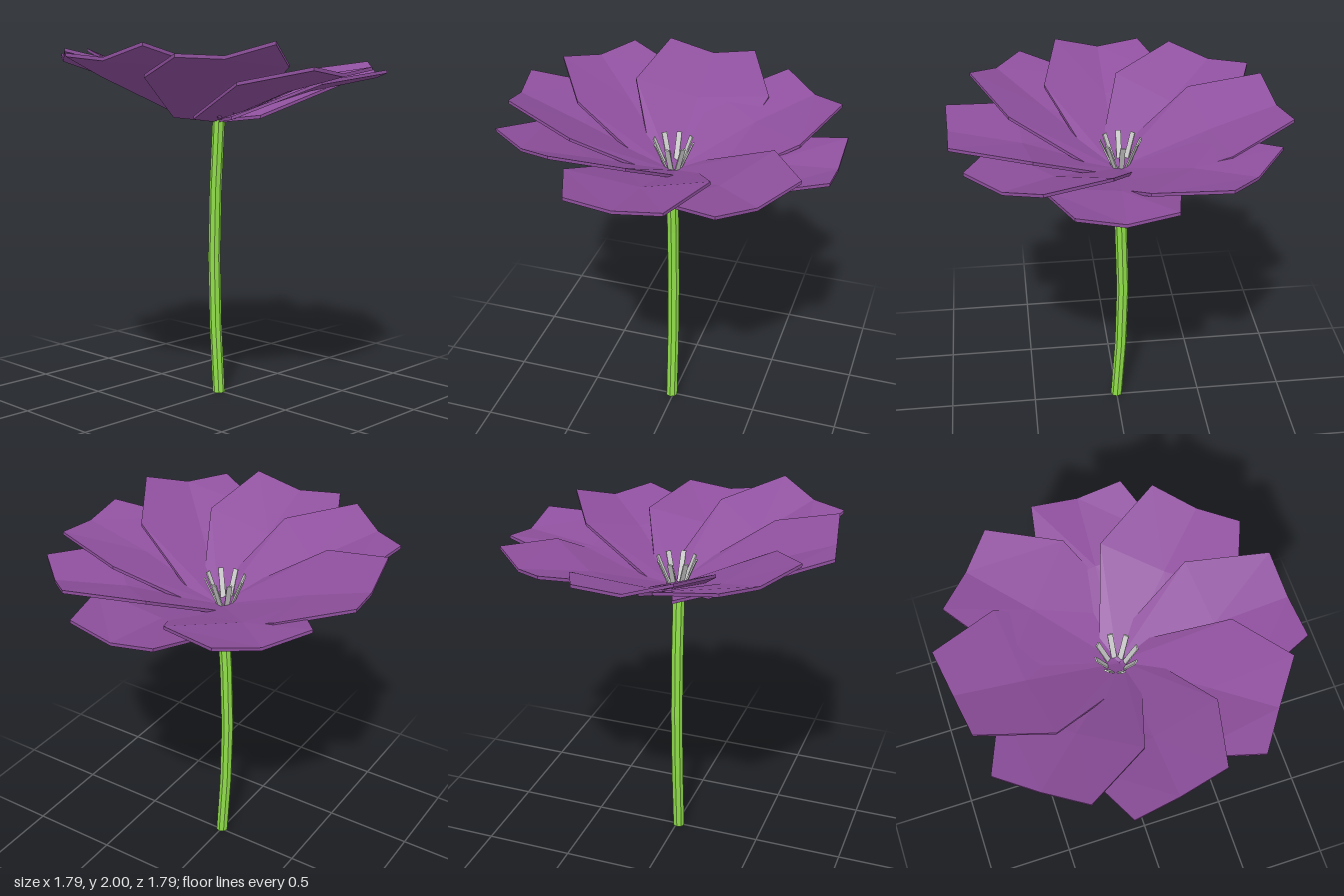
import * as THREE from 'three';

const mat = (color) => new THREE.MeshStandardMaterial({ color, flatShading: true });

// Closed faceted petal pointing along +z, lofted through three rows of
// [minus-side, rib, plus-side] points, each given as [x, y, z].
function petalGeometry(length, tipMinus, tipRib, tipPlus, skew, minusRise, plusRise, plusWidth) {
  const thick = 0.018;
  const rib = 1.725 + (tipRib - 1.77) * 0.4;
  const rows = [
    [[-0.26, 1.603, 0.06], [0, 1.572, -0.02], [0.12, 1.6, 0]],
    [[-0.4, rib + minusRise, 0.53], [0, rib, 0.5], [plusWidth, rib + plusRise, 0.45]],
    [[-0.24, tipMinus, length + skew], [0, tipRib, length], [0.25, tipPlus, length - skew]],
  ];
  const loops = rows.map((r) => [
    ...r,
    ...[...r].reverse().map(([x, y, z]) => [x, y - thick, z]),
  ]);
  const pos = [];
  const quad = (a, b, c, d) => pos.push(...a, ...b, ...c, ...a, ...c, ...d);
  for (let i = 0; i < loops.length - 1; i++) {
    const p = loops[i], q = loops[i + 1];
    for (let j = 0; j < 6; j++) {
      const k = (j + 1) % 6;
      quad(p[j], q[j], q[k], p[k]);
    }
  }
  // base and tip edges
  const s = loops[0], e = loops[loops.length - 1];
  quad(s[0], s[1], s[4], s[5]);
  quad(s[1], s[2], s[3], s[4]);
  quad(e[5], e[4], e[1], e[0]);
  quad(e[4], e[3], e[2], e[1]);
  const g = new THREE.BufferGeometry();
  g.setAttribute('position', new THREE.Float32BufferAttribute(pos, 3));
  g.computeVertexNormals();
  return g;
}

export function createModel() {
  const flower = new THREE.Group();
  flower.name = 'flower';

  // Stem: eight-sided, bowed gently backwards
  const stemHeight = 1.57;
  const stemGeo = new THREE.CylinderGeometry(0.035, 0.035, stemHeight, 8, 4);
  stemGeo.translate(0, stemHeight / 2, 0);
  const p = stemGeo.attributes.position;
  for (let i = 0; i < p.count; i++) {
    p.setZ(i, p.getZ(i) - 0.036 * Math.sin((Math.PI * p.getY(i)) / stemHeight));
  }
  stemGeo.computeVertexNormals();
  const stem = new THREE.Mesh(stemGeo, mat(0x90de4a));
  stem.name = 'stem';
  stem.position.x = -0.012;
  flower.add(stem);

  // Petals: heading in degrees, length, tip heights (minus side, rib, plus side),
  // tip skew, rise of the two side corners, width of the plus side
  const petals = new THREE.Group();
  petals.name = 'petals';
  const petalMat = mat(0x8f509e);
  [
    [-1.5, 0.885, 1.875, 1.84, 1.87, 0.015, 0.045, 0.07, 0.345],
    [44.5, 0.87, 1.85, 1.82, 1.89, 0.02, 0.05, 0.09, 0.345],
    [86.5, 0.89, 1.82, 1.77, 1.82, 0.015, 0.045, -0.005, 0.3],
    [135, 0.88, 1.87, 1.83, 1.885, 0.018, 0.045, 0.04, 0.3],
    [182, 0.86, 1.92, 1.89, 1.965, 0.028, 0.045, 0.095, 0.345],
    [226.5, 0.868, 1.935, 1.91, 1.965, 0.035, 0.045, 0.095, 0.345],
    [271, 0.857, 1.94, 1.92, 1.995, 0.04, 0.045, 0.095, 0.345],
    [315.8, 0.85, 1.94, 1.93, 2.0, 0.04, 0.045, 0.095, 0.345],
  ].forEach(([heading, ...shape], i) => {
    const petal = new THREE.Mesh(petalGeometry(...shape), petalMat);
    petal.name = 'petal' + (i + 1);
    petal.rotation.y = THREE.MathUtils.degToRad(heading);
    petals.add(petal);
  });
  flower.add(petals);

  // Stamens: a ring of thin bars leaning outwards
  const stamens = new THREE.Group();
  stamens.name = 'stamens';
  stamens.position.set(-0.008, 1.57, -0.02);
  const stamenGeo = new THREE.BoxGeometry(0.028, 0.19, 0.008);
  stamenGeo.translate(0, 0.095, 0);
  stamenGeo.rotateX(0.4);
  stamenGeo.translate(0, 0, 0.035);
  const stamenMat = mat(0xcccccc);
  for (let i = 0; i < 8; i++) {
    const stamen = new THREE.Mesh(stamenGeo, stamenMat);
    stamen.name = 'stamen' + (i + 1);
    stamen.rotation.y = (i * Math.PI) / 4;
    stamens.add(stamen);
  }
  flower.add(stamens);

  return flower;
}
